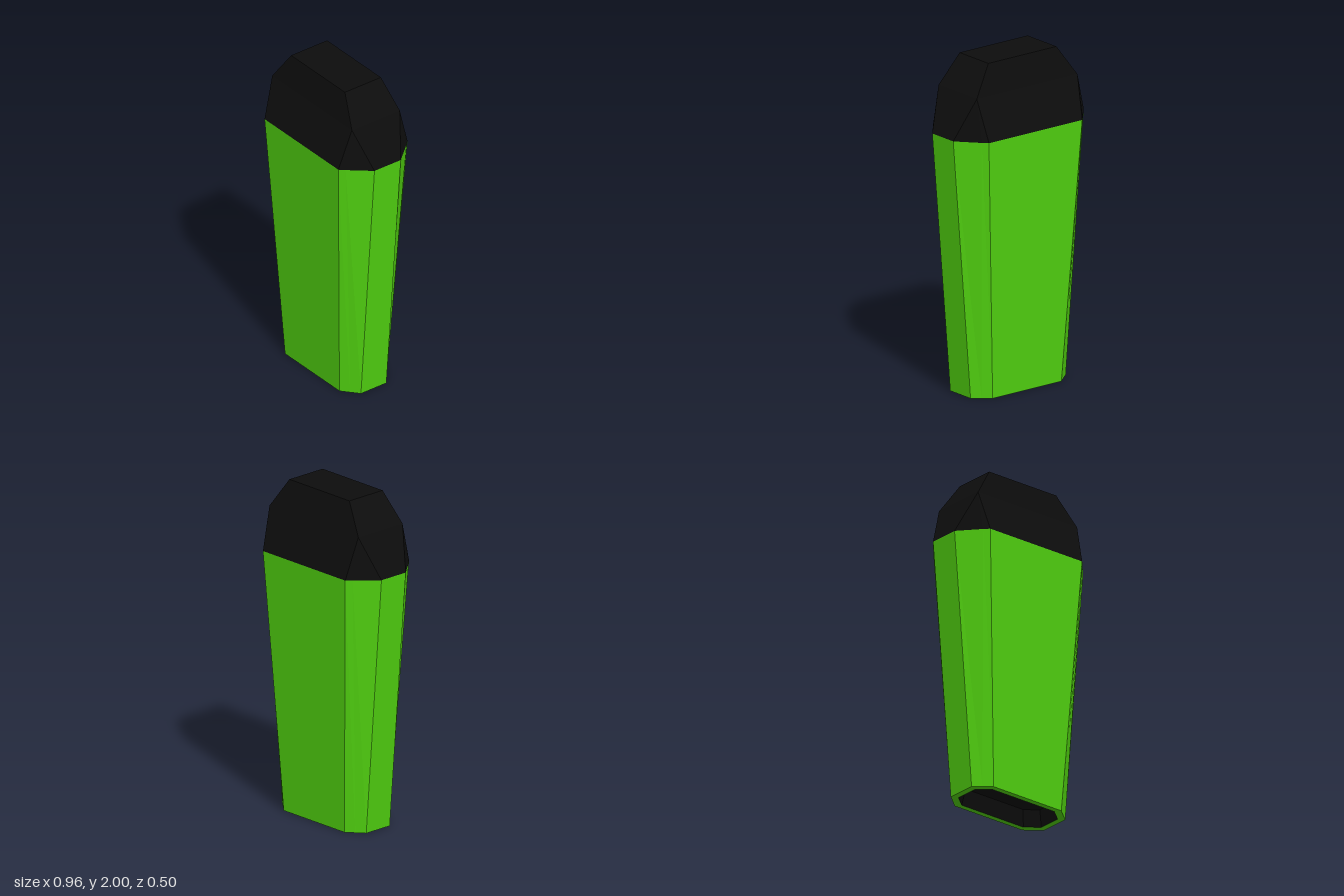
import * as THREE from 'three';

// Chamfered rectangle of 12 points: three per corner (flat end, chamfer middle, flat end)
function ring(y, hx, hz, fx, fz, mx = (hx + fx) / 2, mz = (hz + fz) / 2) {
  const corner = [[hx, fz], [mx, mz], [fx, hz]];
  const mirrored = [...corner].reverse();
  return [
    ...corner.map(([x, z]) => [x, y, z]),
    ...mirrored.map(([x, z]) => [-x, y, z]),
    ...corner.map(([x, z]) => [-x, y, -z]),
    ...mirrored.map(([x, z]) => [x, y, -z]),
  ];
}

// Sharp-cornered rectangle with the same number of points
const rect = (y, hx, hz) => ring(y, hx, hz, hx, hz);
const centre = (y) => rect(y, 0, 0);

// Skin a sequence of rings with flat facets, skipping collapsed triangles
function loft(name, rings, material) {
  const positions = [];
  const tri = new THREE.Triangle();
  const add = (a, b, c) => {
    tri.set(new THREE.Vector3(...a), new THREE.Vector3(...b), new THREE.Vector3(...c));
    if (tri.getArea() > 1e-7) positions.push(...a, ...b, ...c);
  };
  for (let r = 0; r < rings.length - 1; r++) {
    const low = rings[r], high = rings[r + 1], n = low.length;
    for (let i = 0; i < n; i++) {
      const j = (i + 1) % n;
      add(low[i], high[i], high[j]);
      add(low[i], high[j], low[j]);
    }
  }
  const geometry = new THREE.BufferGeometry();
  geometry.setAttribute('position', new THREE.Float32BufferAttribute(positions, 3));
  geometry.computeVertexNormals();
  const mesh = new THREE.Mesh(geometry, material);
  mesh.name = name;
  return mesh;
}

export function createModel() {
  const green = new THREE.MeshStandardMaterial({ color: 0x50d010, flatShading: true });
  const black = new THREE.MeshStandardMaterial({ color: 0x0d0d0d, flatShading: true });

  const shoulder = ring(1.57, 0.48, 0.25, 0.343, 0.095, 0.372, 0.22);
  const foot = ring(0, 0.35, 0.172, 0.253, 0.092);
  const opening = ring(0, 0.31, 0.137, 0.23, 0.072);
  const recessTop = ring(0.1, 0.29, 0.12, 0.215, 0.062);

  const group = new THREE.Group();
  group.name = 'taperedCase';
  group.add(
    // Tapered body with a thin rim around the underside opening
    loft('body', [opening, foot, shoulder], green),
    // Dark hollow in the underside
    loft('baseRecess', [centre(0.1), recessTop, opening], black),
    // Cap narrowing in two steps to a flat top
    loft('cap', [shoulder, rect(1.82, 0.37, 0.173), rect(2, 0.25, 0.13), centre(2)], black),
  );
  return group;
}
